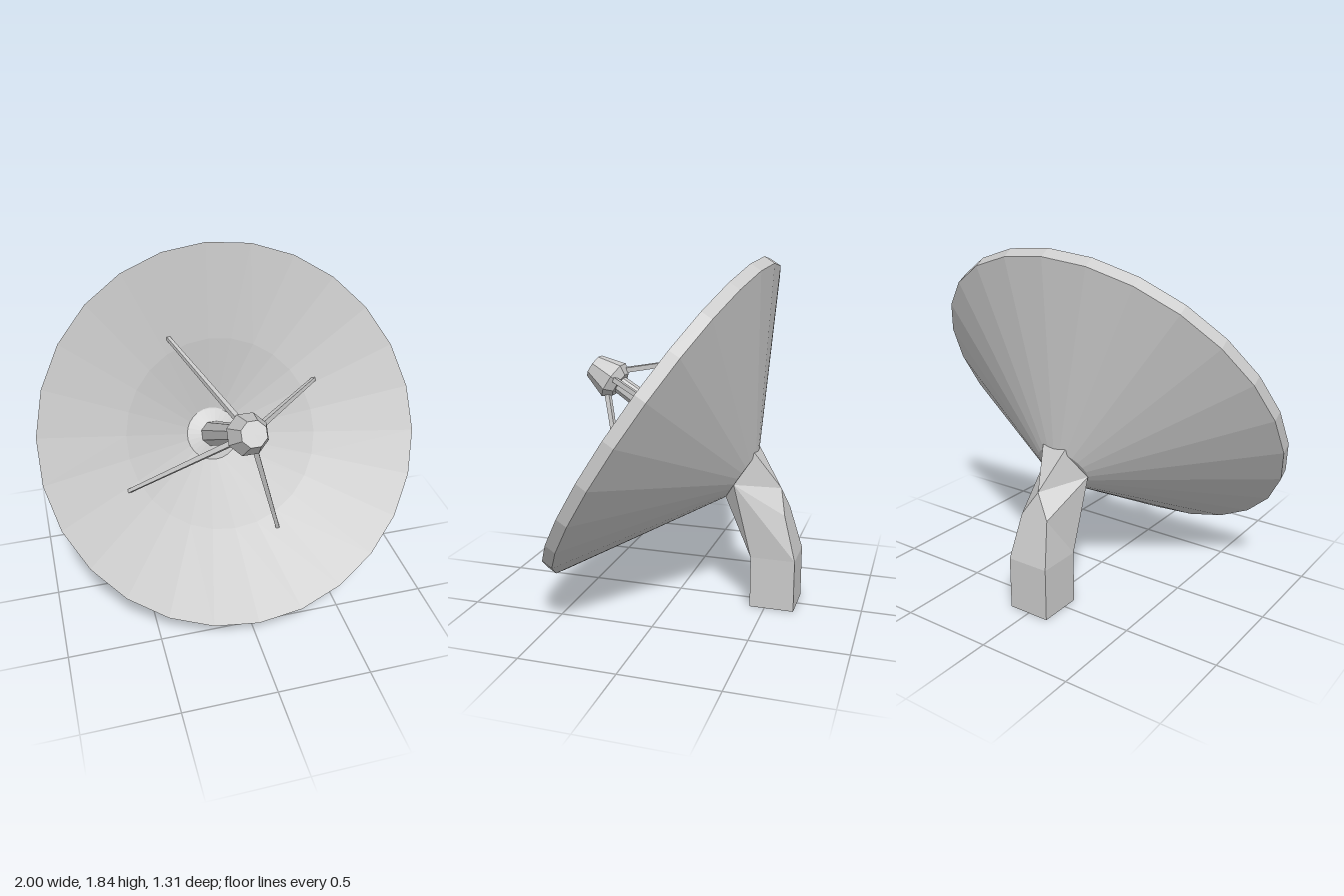
import * as THREE from 'three';

const grey = new THREE.MeshStandardMaterial({ color: 0xcccccc, flatShading: true, side: THREE.DoubleSide });

function addMesh(parent, name, geometry) {
  const mesh = new THREE.Mesh(geometry, grey);
  mesh.name = name;
  parent.add(mesh);
  return mesh;
}

// Lathe from [radius, height] pairs
function lathe(profile, sides, turn = 0) {
  return new THREE.LatheGeometry(profile.map(([r, h]) => new THREE.Vector2(r, h)), sides, turn);
}

// Thin tapered rod between two points
function rod(from, to, r0, r1) {
  const dir = to.clone().sub(from);
  const geo = new THREE.CylinderGeometry(r1, r0, dir.length(), 4);
  geo.applyQuaternion(new THREE.Quaternion().setFromUnitVectors(new THREE.Vector3(0, 1, 0), dir.normalize()));
  const mid = from.clone().add(to).multiplyScalar(0.5);
  return geo.translate(mid.x, mid.y, mid.z);
}

// Bent neck joining the square post to the hexagonal back of the dish
function neckGeometry() {
  const p = {
    T: [0.07, 0.84, -0.42], S: [0.145, 0.68, -0.33], L: [0.07, 0.587, -0.27],
    P: [0, 0.64, -0.555], B: [0.08, 0.515, -0.59],
    F: [0.115, 0.28, -0.42], R: [0.115, 0.28, -0.655],
  };
  for (const k of 'TSLPBFR') p[k.toLowerCase()] = [-p[k][0], p[k][1], p[k][2]];
  const sideFaces = ['TSP', 'SBP', 'SFRB', 'SLF'];
  // lower case letters are the mirrored corners
  const mirrored = sideFaces.map((f) => [...f.toLowerCase()].reverse().join(''));
  const faces = [...sideFaces, ...mirrored, 'TPt', 'PBb', 'BRrb', 'LlfF', 'TtslLS'];
  const verts = [];
  for (const f of faces) {
    for (let i = 1; i < f.length - 1; i++) verts.push(...p[f[0]], ...p[f[i]], ...p[f[i + 1]]);
  }
  const geo = new THREE.BufferGeometry();
  geo.setAttribute('position', new THREE.Float32BufferAttribute(verts, 3));
  geo.computeVertexNormals();
  return geo;
}

export function createModel() {
  const model = new THREE.Group();
  model.name = 'satelliteDish';

  // Support
  addMesh(model, 'post', new THREE.BoxGeometry(0.23, 0.28, 0.235).translate(0, 0.14, -0.5375));
  addMesh(model, 'neck', neckGeometry());

  // Tilted assembly: local y is the dish axis, origin at the rim plane
  const head = new THREE.Group();
  head.name = 'dishAssembly';
  head.position.set(0, 0.9925, 0.11);
  head.rotation.x = 0.997;
  model.add(head);

  // Reflector shell with rim band and faceted front
  addMesh(head, 'reflector', lathe([
    [0, -0.54], [0.15, -0.54], [1.007, -0.062], [1.007, 0], [0.53, -0.27], [0.15, -0.53],
  ], 26));
  addMesh(head, 'hub', lathe([[0.15, -0.53], [0.06, -0.5], [0, -0.5]], 26));

  // Central mast and feed horn
  const eighth = Math.PI / 8;
  addMesh(head, 'mast', lathe([[0, -0.53], [0.075, -0.53], [0.048, 0.3]], 8, eighth));
  addMesh(head, 'feedHorn', lathe([
    [0, 0.28], [0.075, 0.28], [0.11, 0.325], [0.068, 0.458], [0, 0.458],
  ], 8, eighth));

  // Four struts from the feed horn to the reflector
  for (let i = 0; i < 4; i++) {
    const a = eighth + i * Math.PI / 2;
    const at = (r, h) => new THREE.Vector3(r * Math.cos(a), h, -r * Math.sin(a));
    addMesh(head, 'strut', rod(at(0.085, 0.3), at(0.605, -0.235), 0.019, 0.014));
  }
  return model;
}
